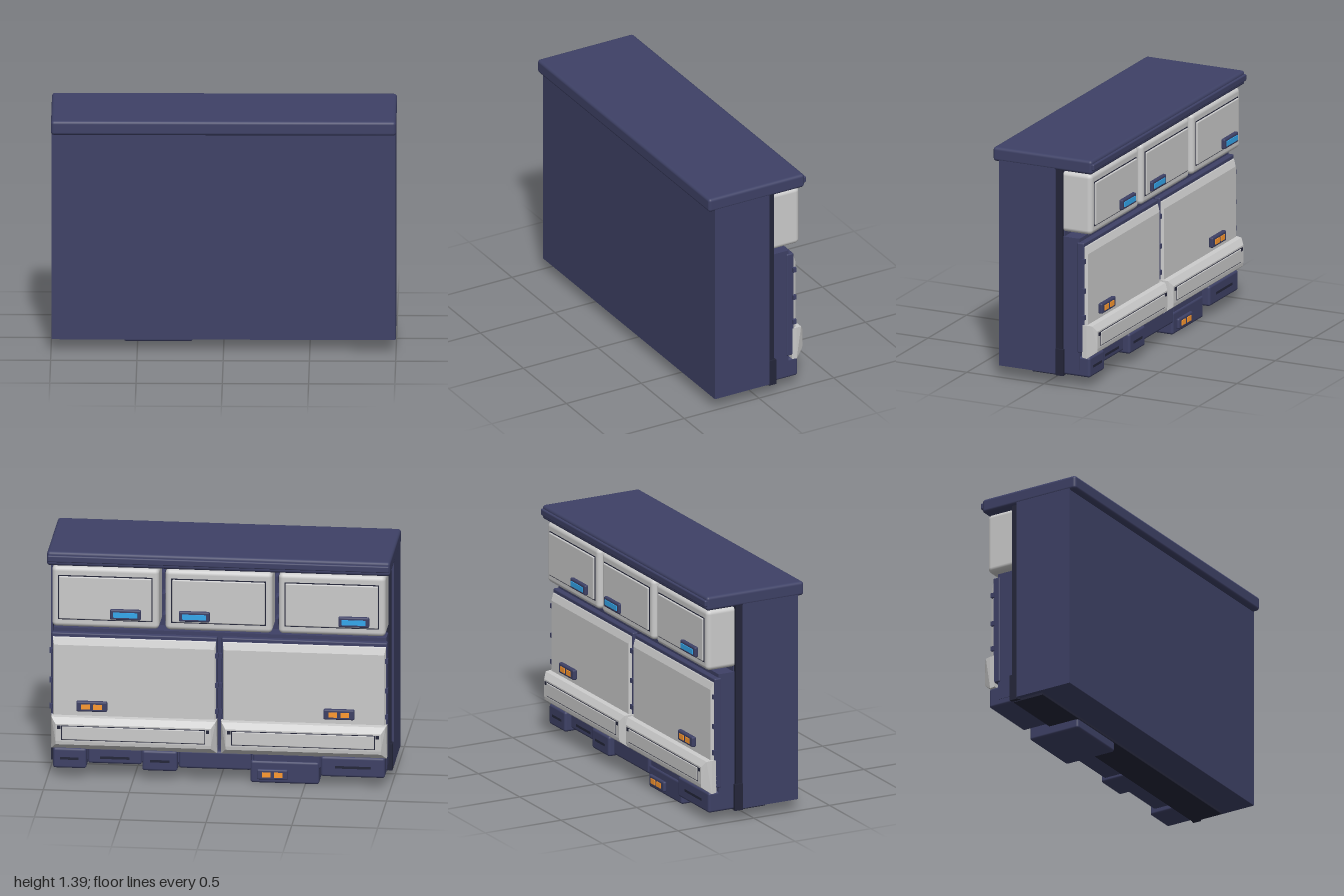
import * as THREE from 'three';
import { RoundedBoxGeometry } from 'three/addons/geometries/RoundedBoxGeometry.js';
import { ConvexGeometry } from 'three/addons/geometries/ConvexGeometry.js';

const material = (color, flatShading = false) => new THREE.MeshStandardMaterial({ color, flatShading });

export function createModel() {
  const model = new THREE.Group();
  model.name = 'storageCounter';
  const navy = material(0x3e4166), dark = material(0x24263a), grey = material(0xcccccc);
  const greyFlat = material(0xcccccc, true), blue = material(0x35a8ee), orange = material(0xff9a30);

  const add = (name, geometry, mat, parent = model) => {
    const mesh = new THREE.Mesh(geometry, mat);
    mesh.name = name;
    parent.add(mesh);
    return mesh;
  };
  // Box given by its limits, with an optional rounded edge
  const box = (name, [x0, x1], [y0, y1], [z0, z1], mat, radius = 0, parent = model) => {
    const size = [x1 - x0, y1 - y0, z1 - z0];
    const geometry = radius ? new RoundedBoxGeometry(...size, 3, radius) : new THREE.BoxGeometry(...size);
    const mesh = add(name, geometry, mat, parent);
    mesh.position.set((x0 + x1) / 2, (y0 + y1) / 2, (z0 + z1) / 2);
    return mesh;
  };
  // Bevelled panel: profile rows are [z, y, inset of the ends]
  const bevelled = (name, [x0, x1], profile, parent) => {
    const points = profile.flatMap(([z, y, inset]) => [
      new THREE.Vector3(x0 + inset, y, z), new THREE.Vector3(x1 - inset, y, z)]);
    return add(name, new ConvexGeometry(points), greyFlat, parent);
  };
  // Dark handle plate with coloured inserts, standing off the back at depth z
  const handle = (name, x, y, z, depth, colour, inserts) => {
    const group = new THREE.Group();
    group.name = name;
    group.position.set(x, y, z);
    model.add(group);
    box('handlePlate', [-0.09, 0.09], [-0.031, 0.031], [-depth, 0.004], navy, 0.009, group);
    const w = 0.14 / inserts;
    for (let i = 0; i < inserts; i++) {
      const left = -0.07 + i * w;
      const gap = inserts > 1 ? 0.01 : 0;
      box('handleInsert', [left + gap, left + w - gap], [-0.015, 0.015], [-depth - 0.005, -0.003], colour, 0, group);
    }
  };

  // Cabinet shell
  box('body', [-0.998, 0.998], [0.07, 1.32], [-0.07, 0.293], navy);
  box('rearFrame', [-0.985, 0.985], [0.06, 1.32], [-0.11, -0.06], dark);
  box('rearWall', [-0.96, 0.96], [0.08, 1.31], [-0.115, -0.1], navy);
  box('bottomPlate', [-0.97, 0.97], [0.055, 0.075], [-0.11, 0.09], dark);
  box('worktop', [-1, 1], [1.305, 1.39], [-0.308, 0.333], navy, 0.018);
  box('worktopTrim', [-0.995, 0.995], [1.33, 1.37], [-0.32, -0.29], navy, 0.008);
  for (const side of [-1, 1]) {
    const x = side * 0.985;
    box('frameFoot', [x - 0.01, x + 0.01], [0.06, 0.22], [-0.12, -0.07], dark);
  }

  // Three upper drawers, each with a raised panel and its handle
  const drawers = [
    { x: 0.66, grip: 0.54, z: -0.303 },
    { x: 0, grip: 0.14, z: -0.298 },
    { x: -0.66, grip: -0.79, z: -0.303 },
  ];
  for (const { x, grip, z } of drawers) {
    box('upperDrawer', [x - 0.312, x + 0.312], [0.928, 1.297], [-0.291, -0.09], grey, 0.028);
    box('drawerPanelOutline', [x - 0.276, x + 0.276], [0.976, 1.246], [-0.293, -0.27], dark);
    box('upperDrawerPanel', [x - 0.27, x + 0.27], [0.982, 1.24], [-0.302, -0.27], grey, 0.006);
    handle('drawerHandle', grip, 1.023, z, 0.022, blue, 1);
  }
  for (const x of [-0.33, 0.33])
    for (const y of [0.97, 1.1, 1.23])
      box('drawerSpacer', [x - 0.008, x + 0.008], [y - 0.02, y + 0.02], [-0.2, -0.11], navy);

  // Lower carcass
  box('lowerCarcass', [-0.97, 0.97], [0.1, 0.9], [-0.215, -0.1], navy);
  for (const side of [-1, 1]) {
    const limits = side > 0 ? [0.012, 0.978] : [-0.978, -0.012];
    const [x0, x1] = limits;
    box('doorFrame', limits, [0.21, 0.878], [-0.246, -0.2], navy, 0.008);

    // Door with a sloping top
    bevelled('lowerDoor', [x0 + 0.008, x1 - 0.008], [
      [-0.235, 0.868, 0], [-0.25, 0.85, 0], [-0.265, 0.81, 0.008],
      [-0.265, 0.35, 0.008], [-0.25, 0.34, 0], [-0.235, 0.34, 0]]);
    handle('doorHandle', side > 0 ? 0.74 : -0.7, 0.445, -0.268, 0.024, orange, 2);

    // Chamfered bin below the door
    bevelled('tiltBin', limits, [
      [-0.235, 0.185, 0], [-0.265, 0.18, 0], [-0.318, 0.22, 0.03], [-0.321, 0.24, 0.03],
      [-0.321, 0.345, 0.03], [-0.297, 0.38, 0.005], [-0.265, 0.383, 0], [-0.235, 0.383, 0]]);
    box('binPanelOutline', [x0 + 0.064, x1 - 0.064], [0.249, 0.336], [-0.3222, -0.3], dark);
    box('binPanel', [x0 + 0.068, x1 - 0.068], [0.253, 0.332], [-0.327, -0.3], grey, 0.004);
    for (const x of [x0 + 0.05, x1 - 0.05])
      box('binFastener', [x - 0.009, x + 0.009], [0.315, 0.335], [-0.325, -0.31], dark);

    // Hinge blocks on both door edges
    for (const x of [x0, x1])
      for (const y of [0.43, 0.59, 0.77])
        box('hingeBlock', [x - 0.005, x + 0.012], [y - 0.014, y + 0.014], [-0.258, -0.235], navy);
  }

  // Stepped skirting: [left limit, right limit, bottom, rear depth, has slot]
  const skirting = [
    [0.77, 0.97, 0.062, -0.28, true],
    [0.45, 0.77, 0.085, -0.245, true],
    [0.24, 0.45, 0.062, -0.28, true],
    [-0.19, 0.24, 0.075, -0.25, false],
    [-0.59, -0.19, 0.09, -0.24, false],
    [-0.97, -0.59, 0.062, -0.28, true],
  ];
  for (const [x0, x1, bottom, depth, slot] of skirting) {
    box('skirtingBlock', [x0 + 0.003, x1 - 0.003], [bottom, 0.185], [depth, -0.1], navy, 0.015);
    if (slot) {
      const middle = (x0 + x1) / 2, half = (x1 - x0) * 0.27;
      box('skirtingSlot', [middle - half, middle + half], [0.115, 0.13], [depth - 0.002, depth + 0.02], dark);
    }
  }

  // Low drawer that reaches the floor
  box('floorDrawer', [-0.58, -0.18], [0, 0.135], [-0.247, 0.085], navy, 0.015);
  handle('floorDrawerHandle', -0.31, 0.058, -0.25, 0.018, orange, 2);

  return model;
}
